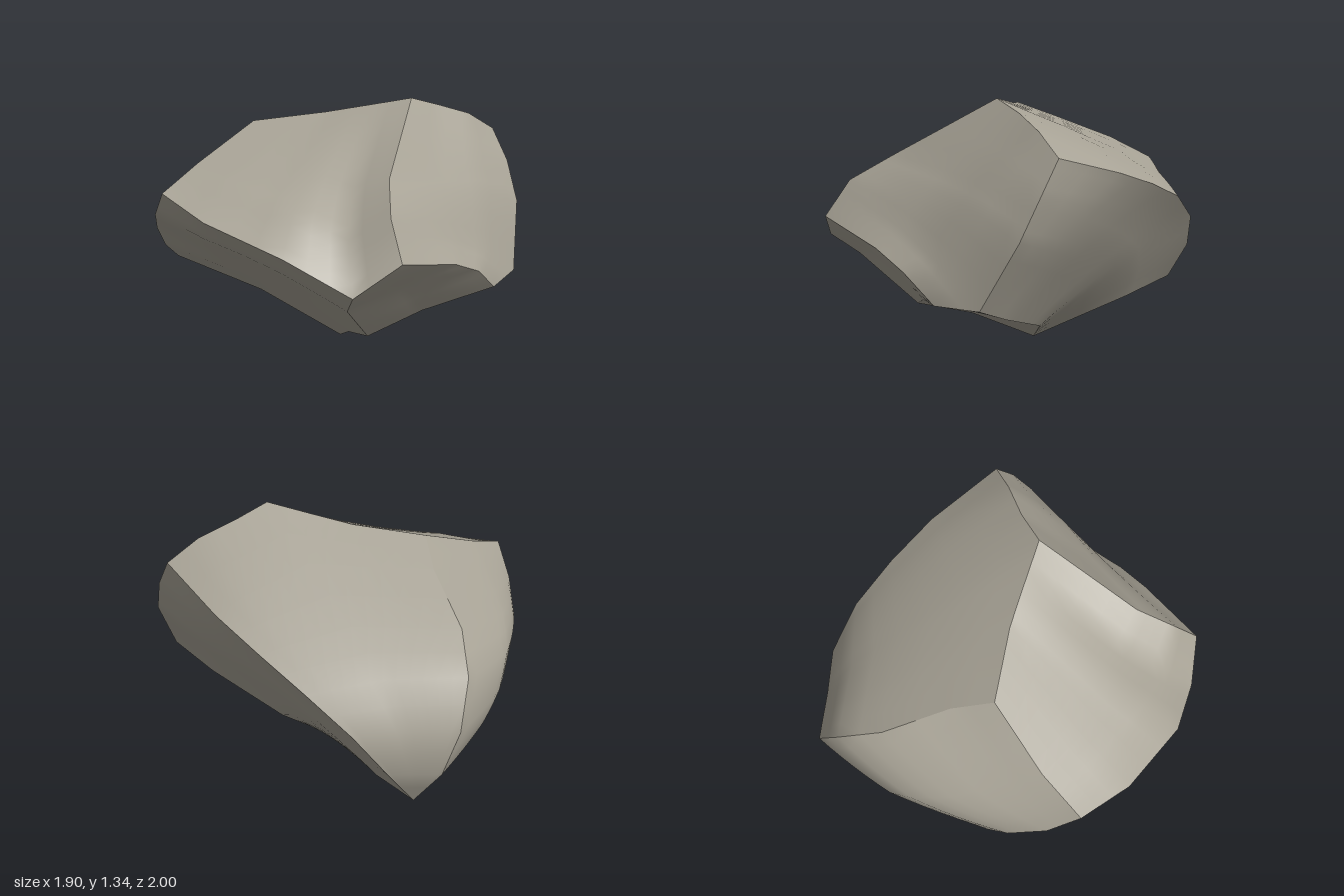
import * as THREE from 'three';

// Corners of the boulder
const corners = {
  A: [0.355, 1.335, 0.16], B: [-0.42, 1.21, -0.07], C: [-0.92, 0.94, 0.33], D: [0.87, 1.13, -0.04],
  E: [0.08, 0.72, 1.0], F: [-0.14, 0.57, 0.98], G: [0.04, 0.22, 0.54], H: [0.7, 0.42, 0.51],
  I: [0.88, 0.44, 0.32], J: [0.04, 0, -0.08], L: [-0.82, 0.465, -0.23], M: [-0.23, 0.22, -0.91],
};

// Points along each bent edge, between its two corners
const bends = {
  AB: [[0.15, 1.295, 0.085], [-0.06, 1.255, 0.01]],
  BC: [[-0.73, 1.045, 0.15]],
  AD: [[0.52, 1.285, 0.08], [0.71, 1.225, 0.02]],
  AE: [[0.11, 1.03, 0.65], [0.06, 0.9, 0.87]],
  CF: [[-0.75, 0.85, 0.58], [-0.43, 0.735, 0.86]],
  DI: [[0.925, 0.97, 0.05], [0.95, 0.77, 0.15]],
  EH: [[0.41, 0.63, 0.76], [0.57, 0.55, 0.64]],
  FG: [[-0.13, 0.46, 0.83]],
  GH: [[0.32, 0.33, 0.53]],
  GJ: [[0.01, 0.14, 0.25]],
  IJ: [[0.69, 0.33, 0.17], [0.33, 0.16, -0.06]],
  JL: [[-0.39, 0.28, -0.12]],
  LM: [[-0.5, 0.34, -0.69]],
  JM: [[-0.1, 0.15, -0.62]],
  CL: [[-0.95, 0.8, 0.17], [-0.935, 0.68, -0.02], [-0.89, 0.56, -0.12]],
  BM: [[-0.42, 1.13, -0.28], [-0.49, 0.99, -0.62], [-0.475, 0.87, -0.85], [-0.42, 0.66, -0.98], [-0.34, 0.44, -1.0]],
  DM: [[0.65, 1.01, -0.38], [0.46, 0.91, -0.6], [0.27, 0.8, -0.79], [0.07, 0.64, -0.93], [-0.09, 0.44, -0.97]],
};

// Facets: four sides each, anticlockwise from outside; swell moves the middle,
// fade sets how fast the first side's shape dies away towards the third
const facets = [
  { name: 'topFacet', sides: ['BAD', 'DM', 'MM', 'MB'], fade: 3 },
  { name: 'frontTopFacet', sides: ['AB', 'BC', 'CFE', 'EA'] },
  { name: 'frontSideFacet', sides: ['AE', 'EH', 'HID', 'DA'], swell: [-0.02, 0, -0.01] },
  { name: 'frontUnderFacet', sides: ['EF', 'FG', 'GH', 'HE'] },
  { name: 'lowerFrontFacet', sides: ['CL', 'LJ', 'JGF', 'FC'], swell: [0.01, 0.015, -0.01] },
  { name: 'baseFacet', sides: ['GJ', 'JI', 'IH', 'HG'] },
  { name: 'backSideFacet', sides: ['DI', 'IJ', 'JM', 'MD'], swell: [-0.03, 0.02, 0.035] },
  { name: 'sideFacet', sides: ['BM', 'ML', 'LC', 'CB'], swell: [-0.04, 0, -0.01] },
  { name: 'backUnderFacet', sides: ['JL', 'LM', 'MM', 'MJ'] },
];

const STEPS = 12;
const vec = (p) => new THREE.Vector3(...p);

// Polyline running through the named corners
function sidePoints(path) {
  const points = [vec(corners[path[0]])];
  for (let i = 1; i < path.length; i++) {
    const a = path[i - 1], b = path[i];
    const between = bends[a + b] || [...(bends[b + a] || [])].reverse();
    points.push(...between.map(vec), vec(corners[b]));
  }
  return points;
}

function pointAt(points, t) {
  const s = t * (points.length - 1);
  const i = Math.min(Math.floor(s + 1e-9), points.length - 2);
  return points[i].clone().lerp(points[i + 1], s - i);
}

// Curved patch blended from its four sides
function patchGeometry({ sides, swell = [0, 0, 0], fade = 1 }) {
  const [a, b, c, d] = sides.map(sidePoints);
  const [p00, p10, p11, p01] = [a[0], b[0], c[0], d[0]];
  const bulge = vec(swell);
  const positions = [], index = [];
  for (let j = 0; j <= STEPS; j++) {
    for (let i = 0; i <= STEPS; i++) {
      const u = i / STEPS, v = j / STEPS;
      const near = (1 - v) ** fade, far = 1 - near;
      const p = pointAt(a, u).multiplyScalar(near)
        .addScaledVector(pointAt(c, 1 - u), far)
        .addScaledVector(pointAt(d, 1 - v), 1 - u)
        .addScaledVector(pointAt(b, v), u)
        .addScaledVector(p00, -(1 - u) * near)
        .addScaledVector(p10, -u * near)
        .addScaledVector(p11, -u * far)
        .addScaledVector(p01, -(1 - u) * far)
        .addScaledVector(bulge, 16 * u * v * (1 - u) * (1 - v));
      positions.push(p.x, p.y, p.z);
      if (i < STEPS && j < STEPS) {
        const k = j * (STEPS + 1) + i, n = k + STEPS + 1;
        index.push(k, k + 1, n + 1, k, n + 1, n);
      }
    }
  }
  const geometry = new THREE.BufferGeometry();
  geometry.setAttribute('position', new THREE.Float32BufferAttribute(positions, 3));
  geometry.setIndex(index);
  geometry.computeVertexNormals();
  return geometry;
}

export function createModel() {
  const boulder = new THREE.Group();
  boulder.name = 'boulder';
  const stone = new THREE.MeshStandardMaterial({ color: 0xa8a396 });
  stone.name = 'stone';
  for (const facet of facets) {
    const mesh = new THREE.Mesh(patchGeometry(facet), stone);
    mesh.name = facet.name;
    boulder.add(mesh);
  }
  return boulder;
}
